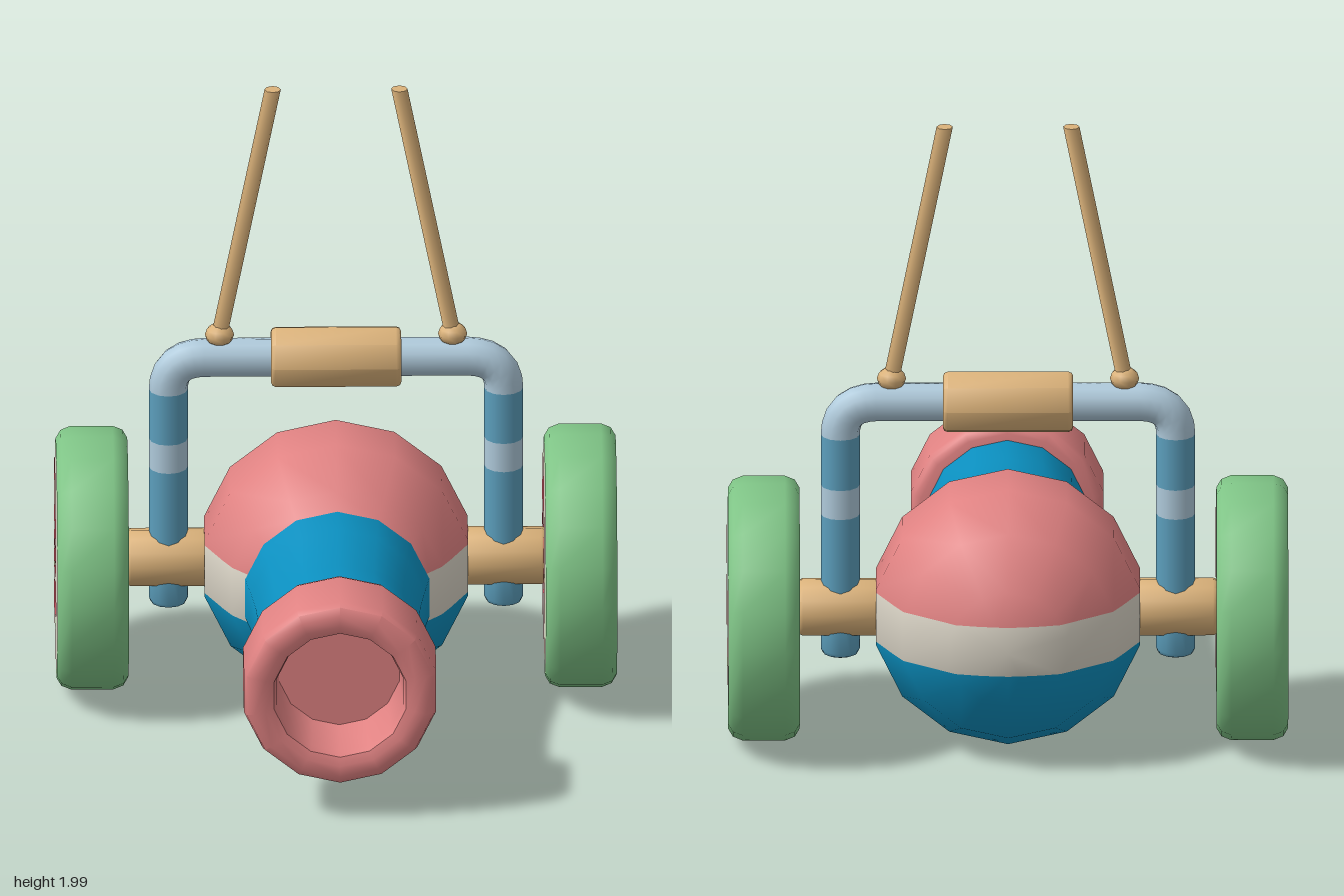
import * as THREE from 'three';
import { toCreasedNormals } from 'three/addons/utils/BufferGeometryUtils.js';

const material = (name, color) => {
  const m = new THREE.MeshStandardMaterial({ color });
  m.name = name;
  return m;
};

const CY = 0.43, CZ = -0.317; // centre of body and wheels

// Turned part; axis 'z' or 'x' lays the lathe axis along that direction.
function turned(points, sides, axis = 'y', crease = 0.82) {
  const g = new THREE.LatheGeometry(points.map(([r, h]) => new THREE.Vector2(r, h)), sides);
  if (axis === 'z') g.rotateX(Math.PI / 2);
  if (axis === 'x') g.rotateZ(-Math.PI / 2);
  return toCreasedNormals(g, crease);
}

// Closed cylinder profile from h0 to h1 with rounded ends.
const roundedRod = (r, h0, h1, b) => [
  [0, h0], [r - b, h0], [r - b * 0.3, h0 + b * 0.3], [r, h0 + b],
  [r, h1 - b], [r - b * 0.3, h1 - b * 0.3], [r - b, h1], [0, h1],
];

// Keeps the part of a geometry between two heights.
function sliceY(geometry, lo, hi) {
  const { position: p, normal: n } = geometry.attributes;
  const pos = [], nor = [];
  const clip = (poly, sign, limit) => {
    const out = [];
    poly.forEach((a, i) => {
      const b = poly[(i + 1) % poly.length];
      const da = sign * (a[1] - limit), db = sign * (b[1] - limit);
      if (da >= 0) out.push(a);
      if (da * db < 0) out.push(a.map((v, k) => v + (b[k] - v) * da / (da - db)));
    });
    return out;
  };
  for (let t = 0; t < p.count; t += 3) {
    let poly = [t, t + 1, t + 2].map(i =>
      [p.getX(i), p.getY(i), p.getZ(i), n.getX(i), n.getY(i), n.getZ(i)]);
    poly = clip(clip(poly, 1, lo), -1, hi);
    for (let i = 1; i + 1 < poly.length; i++) {
      for (const v of [poly[0], poly[i], poly[i + 1]]) {
        pos.push(v[0], v[1], v[2]);
        nor.push(v[3], v[4], v[5]);
      }
    }
  }
  const g = new THREE.BufferGeometry();
  g.setAttribute('position', new THREE.Float32BufferAttribute(pos, 3));
  g.setAttribute('normal', new THREE.Float32BufferAttribute(nor, 3));
  return g;
}

// Fruit wedges of a wheel face, drawn in the xy plane.
function wedgeShapes() {
  const spokes = [-187, -145, -101, -74, -36, 5, 53, 110, 173];
  const rIn = 0.045, rOut = 0.318;
  const at = (r, a) => [r * Math.cos(a), r * Math.sin(a)];
  return spokes.slice(0, -1).map((start, i) => {
    const a0 = THREE.MathUtils.degToRad(start + 4);
    const a1 = THREE.MathUtils.degToRad(spokes[i + 1] - 4);
    const s = new THREE.Shape();
    s.moveTo(...at(rIn, a0));
    s.lineTo(...at(0.28, a0));
    s.quadraticCurveTo(...at(rOut, a0), ...at(rOut, a0 + 0.12));
    s.absarc(0, 0, rOut, a0 + 0.12, a1 - 0.12, false);
    s.quadraticCurveTo(...at(rOut, a1), ...at(0.28, a1));
    s.lineTo(...at(rIn, a1));
    return s;
  });
}

export function createModel() {
  const salmon = material('salmon', 0xe08282);
  const blue = material('deep blue', 0x0b8fbf);
  const cream = material('cream', 0xd9d3c5);
  const tan = material('tan', 0xdbb27a);
  const green = material('green', 0x7fc486);
  const paleGreen = material('pale green', 0xb2dba8);
  const red = material('fruit red', 0xcc5763);
  const steel = material('steel blue', 0x5c9fbd);
  const paleBlue = material('pale blue', 0xafcadb);

  const model = new THREE.Group();
  const add = (parent, name, geometry, mat, x = 0, y = 0, z = 0) => {
    const mesh = new THREE.Mesh(geometry, mat);
    mesh.name = name;
    mesh.position.set(x, y, z);
    parent.add(mesh);
    return mesh;
  };

  // Round body in three horizontal colour zones
  const R = 0.426, profile = [];
  for (let k = 0; k <= 5; k++) {
    const a = k * Math.PI / 7;
    profile.push([R * Math.sin(a), -R * Math.cos(a)]);
  }
  profile.push([0.29, -CZ]);
  const ball = turned(profile, 14, 'z', 1.2);
  add(model, 'bodyTop', sliceY(ball, 0.08, 1), salmon, 0, CY, CZ);
  add(model, 'bodyBand', sliceY(ball, -0.08, 0.08), cream, 0, CY, CZ);
  add(model, 'bodyBottom', sliceY(ball, -1, -0.08), blue, 0, CY, CZ);

  // Barrel and hollow muzzle
  add(model, 'barrel', turned([[0.29, 0], [0.274, 0.1], [0.26, 0.2], [0.252, 0.32], [0.25, 0.5]],
    14, 'z'), blue, 0, CY, 0);
  add(model, 'muzzle', turned([
    [0.2, 0.483], [0.272, 0.483], [0.294, 0.495], [0.303, 0.52], [0.303, 0.705], [0.294, 0.733],
    [0.27, 0.745], [0.235, 0.745], [0.208, 0.735], [0.2, 0.71], [0.19, 0.53], [0, 0.53],
  ], 14, 'z'), salmon, 0, CY, 0);

  // Wheels like sliced fruit
  const half = 0.11;
  const tyre = turned([[0.37, -half], [0.395, -half + 0.015], [0.407, -half + 0.045],
    [0.407, half - 0.045], [0.395, half - 0.015], [0.37, half]], 20, 'x');
  const rind = new THREE.RingGeometry(0.348, 0.37, 20);
  const pith = new THREE.CircleGeometry(0.348, 20);
  const wedges = new THREE.ShapeGeometry(wedgeShapes(), 6);
  for (const side of [1, -1]) {
    const wheel = new THREE.Group();
    wheel.name = side > 0 ? 'leftWheel' : 'rightWheel';
    wheel.position.set(side * 0.75, CY - 0.003, CZ - 0.003);
    if (side < 0) wheel.rotation.y = Math.PI;
    add(wheel, 'tyre', tyre, green);
    for (const face of [1, -1]) {
      const plate = new THREE.Group();
      plate.name = face > 0 ? 'outerFace' : 'innerFace';
      plate.rotation.y = face * Math.PI / 2;
      plate.position.x = face * half;
      add(plate, 'rind', rind, paleGreen);
      add(plate, 'pith', pith, cream);
      add(plate, 'wedges', wedges, red, 0, 0, 0.003);
      wheel.add(plate);
    }
    model.add(wheel);
  }

  // Axle stubs, posts, knots and ropes on both sides
  const axle = turned(roundedRod(0.09, -0.14, 0.14, 0.015), 12, 'x');
  const foot = turned(roundedRod(0.06, 0.278, 0.45, 0.018), 12);
  const tube = (y0, y1) => new THREE.CylinderGeometry(0.06, 0.06, y1 - y0, 12, 1, true)
    .translate(0, (y0 + y1) / 2, 0);
  const knot = new THREE.SphereGeometry(0.045, 10, 6).scale(1, 0.8, 1);
  for (const side of [1, -1]) {
    const x = side * 0.515;
    add(model, 'axle', axle, tan, side * 0.505, CY, CZ);
    add(model, 'postFoot', foot, steel, x, 0, CZ);
    add(model, 'postLower', tube(0.4, 0.735), steel, x, 0, CZ);
    add(model, 'postBand', tube(0.735, 0.83), paleBlue, x, 0, CZ);
    add(model, 'postUpper', tube(0.83, 0.995), steel, x, 0, CZ);
    add(model, 'ropeKnot', knot, tan, side * 0.358, 1.177, CZ);
    // Rope leans inward, with its ends cut level
    const rope = new THREE.CylinderGeometry(0.025, 0.025, 0.83, 8);
    const p = rope.attributes.position;
    for (let i = 0; i < p.count; i++) {
      p.setX(i, p.getX(i) - side * 0.165 * (p.getY(i) / 0.83));
    }
    add(model, 'rope', rope, tan, side * 0.277, 1.585, CZ);
  }

  // Bent handle bar with a grip
  const v = (x, y) => new THREE.Vector3(x, y, 0);
  const bar = new THREE.CurvePath();
  bar.add(new THREE.QuadraticBezierCurve3(v(-0.515, 0.995), v(-0.515, 1.1), v(-0.4, 1.1)));
  bar.add(new THREE.LineCurve3(v(-0.4, 1.1), v(0.4, 1.1)));
  bar.add(new THREE.QuadraticBezierCurve3(v(0.4, 1.1), v(0.515, 1.1), v(0.515, 0.995)));
  add(model, 'handleBar', new THREE.TubeGeometry(bar, 40, 0.06, 12), paleBlue, 0, 0, CZ);
  add(model, 'grip', turned(roundedRod(0.099, -0.2, 0.2, 0.015), 8, 'x'), tan, 0, 1.1, CZ);

  return model;
}
